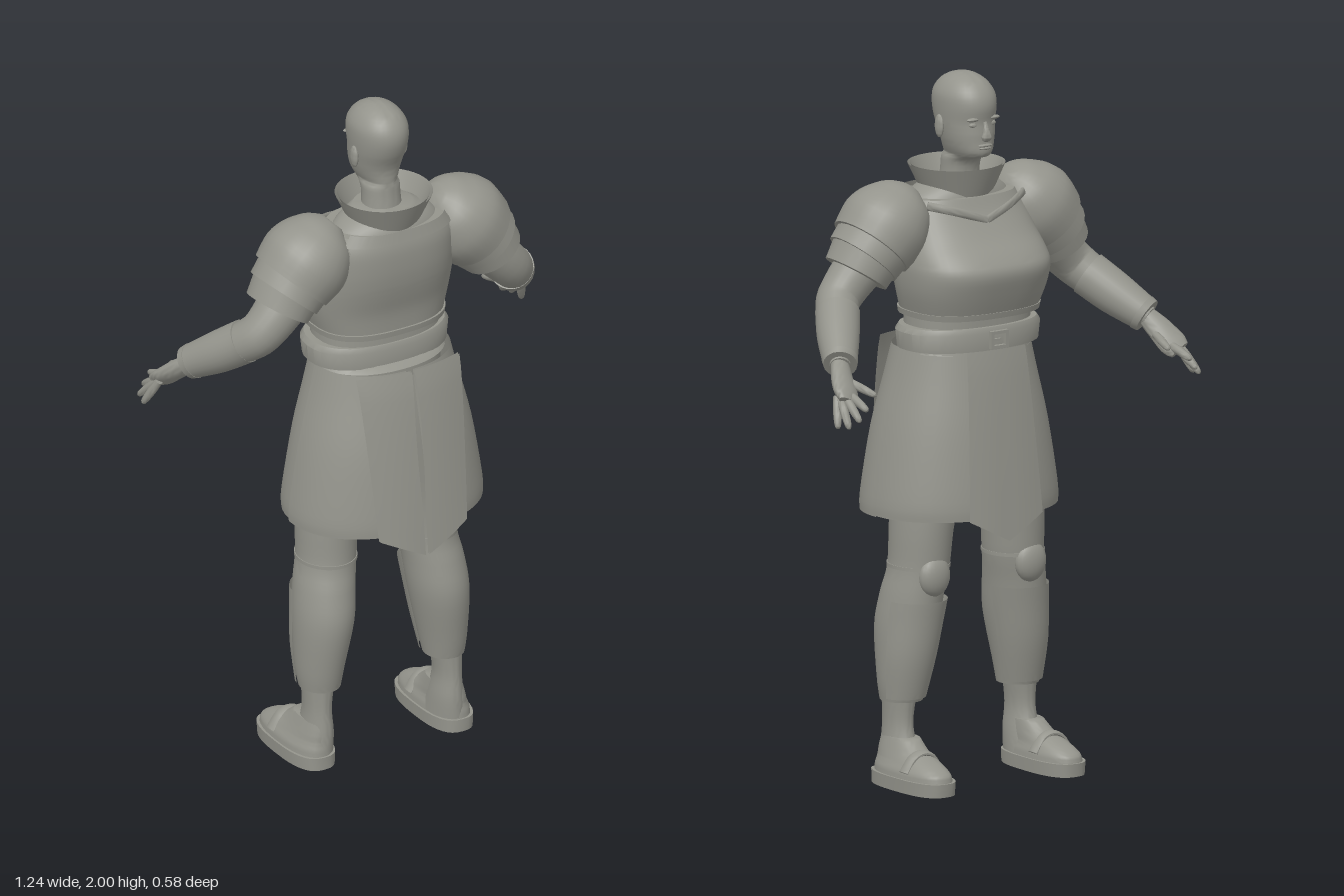
import * as THREE from 'three';
import { toCreasedNormals } from 'three/addons/utils/BufferGeometryUtils.js';

const TAU = Math.PI * 2;

export function createModel() {
  const model = new THREE.Group();
  const grey = new THREE.MeshStandardMaterial({ color: 0x94948c, side: THREE.DoubleSide });
  grey.name = 'stone grey';

  // ---- helpers ----
  function add(name, geo, crease = 0.75) {
    const mesh = new THREE.Mesh(toCreasedNormals(geo, crease), grey);
    mesh.name = name;
    model.add(mesh);
  }
  // mirrored copy with the winding turned round
  function mirror(geo) {
    const g = geo.clone().scale(-1, 1, 1);
    const id = g.index.array;
    for (let i = 0; i < id.length; i += 3) [id[i], id[i + 1]] = [id[i + 1], id[i]];
    return g;
  }
  function pair(name, geo, crease) {
    add('left ' + name, geo, crease);
    add('right ' + name, mirror(geo), crease);
  }
  // grid surface from a rule
  function sheet(fn, nu, nv) {
    const pos = [], idx = [];
    for (let j = 0; j <= nv; j++) for (let i = 0; i <= nu; i++) pos.push(...fn(i / nu, j, j / nv));
    for (let j = 0; j < nv; j++) for (let i = 0; i < nu; i++) {
      const a = j * (nu + 1) + i, b = a + nu + 1;
      idx.push(a, b, a + 1, b, b + 1, a + 1);
    }
    const g = new THREE.BufferGeometry();
    g.setAttribute('position', new THREE.Float32BufferAttribute(pos, 3));
    g.setIndex(idx);
    return g;
  }
  // smooth in-between rows
  function refine(rows, sub) {
    const out = [], at = i => rows[Math.min(rows.length - 1, Math.max(0, i))];
    for (let i = 0; i < rows.length - 1; i++) for (let k = 0; k < sub; k++) {
      const t = k / sub;
      out.push(rows[i].map((b, n) => {
        const a = at(i - 1)[n], c = at(i + 1)[n], d = at(i + 2)[n];
        return b + 0.5 * t * (c - a + t * (2 * a - 5 * b + 4 * c - d + t * (3 * (b - c) + d - a)));
      }));
    }
    out.push(rows[rows.length - 1]);
    return out;
  }
  const pw = (v, p) => Math.sign(v) * Math.pow(Math.abs(v), 2 / p);
  // level cross-sections, bottom up: [y, centre x, half width, front z, back z]
  function body(rows, { p = 2, sub = 4, cap = true, from = 0, to = TAU, n = 36 } = {}) {
    let r = refine(rows, sub);
    if (cap) {
      const shut = ([y, cx, , f, b]) => [y, cx, 0, (f + b) / 2, (f + b) / 2];
      r = [shut(r[0]), ...r, shut(r[r.length - 1])];
    }
    return sheet((u, j) => {
      const [y, cx, w, f, b] = r[j], a = from + u * (to - from);
      return [cx + w * pw(Math.cos(a), p), y, (f + b) / 2 + (b - f) / 2 * pw(Math.sin(a), p)];
    }, n, r.length - 1);
  }
  // sections across a path: [x, y, z, radius a, radius b]
  function limb(rows, { sub = 4, cap = true, n = 24 } = {}) {
    const r = refine(rows, sub), P = r.map(q => new THREE.Vector3(q[0], q[1], q[2]));
    const rings = r.map((q, j) => {
      const t = P[Math.min(j + 1, P.length - 1)].clone().sub(P[Math.max(j - 1, 0)]).normalize();
      const nn = new THREE.Vector3(0, 0, 1).addScaledVector(t, -t.z).normalize();
      return { c: P[j], nn, b: t.clone().cross(nn), ra: q[3], rb: q[4] };
    });
    if (cap) {
      rings.unshift({ ...rings[0], ra: 0, rb: 0 });
      rings.push({ ...rings[rings.length - 1], ra: 0, rb: 0 });
    }
    return sheet((u, j) => {
      const k = rings[j], a = u * TAU;
      return k.c.clone().addScaledVector(k.b, k.ra * Math.cos(a))
        .addScaledVector(k.nn, k.rb * Math.sin(a)).toArray();
    }, n, rings.length - 1);
  }
  const ball = (x, y, z, rx, ry, rz) => new THREE.SphereGeometry(1, 20, 14).scale(rx, ry, rz).translate(x, y, z);

  // ---- head, facing -z ----
  add('head', body([
    [1.64, 0, 0.06, -0.02, 0.1], [1.72, 0, 0.054, -0.02, 0.088], [1.757, 0, 0.054, -0.035, 0.085],
    [1.77, 0, 0.05, -0.078, 0.084], [1.785, 0, 0.057, -0.089, 0.084], [1.81, 0, 0.066, -0.088, 0.085],
    [1.84, 0, 0.072, -0.088, 0.095], [1.87, 0, 0.076, -0.086, 0.109], [1.91, 0, 0.079, -0.093, 0.119],
    [1.945, 0, 0.076, -0.085, 0.114], [1.975, 0, 0.058, -0.06, 0.092], [1.993, 0, 0.033, -0.025, 0.058],
    [2.0, 0, 0.008, 0.005, 0.025]], { p: 2.1, sub: 3 }), 1.0);
  add('nose', limb([[0, 1.872, -0.085, 0.006, 0.006], [0, 1.845, -0.092, 0.01, 0.01],
    [0, 1.828, -0.093, 0.016, 0.013], [0, 1.82, -0.088, 0.01, 0.006]], { n: 12 }), 1);
  add('upper lip', ball(0, 1.805, -0.086, 0.024, 0.005, 0.008));
  add('lower lip', ball(0, 1.797, -0.086, 0.02, 0.005, 0.008));
  pair('eye', ball(0.031, 1.864, -0.073, 0.014, 0.007, 0.009));
  pair('brow', ball(0.034, 1.88, -0.077, 0.022, 0.006, 0.009));
  pair('ear', ball(0.079, 1.852, 0.022, 0.009, 0.033, 0.018).rotateX(0));

  // ---- neck guard ----
  add('neck base', body([[1.6, 0, 0.19, -0.06, 0.16], [1.66, 0, 0.15, -0.05, 0.15], [1.7, 0, 0.085, -0.035, 0.12]]));
  const collar = body([[1.655, 0, 0.1, -0.055, 0.15], [1.735, 0, 0.138, -0.085, 0.184]], { cap: false, sub: 1, n: 48 });
  add('collar', collar);
  add('collar lining', body([[1.655, 0, 0.093, -0.048, 0.143], [1.735, 0, 0.131, -0.078, 0.177]], { cap: false, sub: 1, n: 48 }));

  // ---- torso ----
  add('cuirass', body([
    [1.33, 0, 0.192, -0.158, 0.142], [1.4, 0, 0.212, -0.185, 0.148], [1.46, 0, 0.219, -0.2, 0.163],
    [1.5, 0, 0.216, -0.178, 0.172], [1.55, 0, 0.208, -0.13, 0.178], [1.61, 0, 0.196, -0.085, 0.178],
    [1.655, 0, 0.17, -0.062, 0.168]], { p: 2.6, n: 48 }));
  add('cuirass hem', body([[1.328, 0, 0.198, -0.163, 0.147], [1.345, 0, 0.201, -0.167, 0.149]], { p: 2.6, sub: 1 }));
  // neckline strips, dipping at the chest
  add('back neckline', body([[1.635, 0, 0.19, -0.07, 0.18], [1.668, 0, 0.168, -0.06, 0.172]],
    { p: 2.6, sub: 1, cap: false, from: 0.5, to: Math.PI - 0.5 }));
  pair('chest neckline', limb([[0.165, 1.645, -0.04, 0.012, 0.006], [0.09, 1.625, -0.08, 0.012, 0.006],
    [0, 1.595, -0.097, 0.012, 0.006]], { n: 10 }));
  add('waist', body([[1.18, 0, 0.19, -0.125, 0.13], [1.34, 0, 0.186, -0.13, 0.128]], { p: 2.4, sub: 1 }));
  add('belt', body([[1.235, 0, 0.212, -0.143, 0.138], [1.285, 0, 0.218, -0.146, 0.14],
    [1.3, 0, 0.207, -0.14, 0.134]], { p: 2.3, sub: 1 }));
  // buckle frame and tongue
  const frame = new THREE.Shape([[-0.03, -0.025], [0.03, -0.025], [0.03, 0.025], [-0.03, 0.025]].map(q => new THREE.Vector2(...q)));
  frame.holes.push(new THREE.Path([[-0.02, -0.016], [-0.02, 0.016], [0.02, 0.016], [0.02, -0.016]].map(q => new THREE.Vector2(...q))));
  add('buckle', new THREE.ExtrudeGeometry(frame, { depth: 0.012, bevelEnabled: false }).translate(0, 1.265, -0.157));
  add('buckle tongue', new THREE.BoxGeometry(0.03, 0.007, 0.008).translate(0.01, 1.265, -0.152));

  // ---- skirt: front and back panels overlapping at the sides ----
  const skirt = (g, from, to) => body([
    [0.765, 0, 0.286 + g, -0.19 - g, 0.255 + g], [0.82, 0, 0.284 + g, -0.19 - g, 0.253 + g],
    [1.0, 0, 0.254 + g, -0.172 - g, 0.232 + g], [1.15, 0, 0.217 + g, -0.15 - g, 0.2 + g],
    [1.235, 0, 0.197 + g, -0.138 - g, 0.182 + g]], { p: 2.2, cap: false, from, to, n: 24 });
  add('front skirt panel', skirt(0, Math.PI - 0.1, TAU + 0.1));
  pair('back skirt panel', skirt(0.007, -0.02, Math.PI / 2 - 0.04));
  add('skirt top', body([[1.225, 0, 0.197, -0.138, 0.16], [1.24, 0, 0.19, -0.13, 0.14]], { p: 2.2, sub: 1 }));
  // split back flaps, longer towards the middle
  const backFlap = off => sheet((u, j, v) => {
    const slit = 0.006 + 0.006 * Math.sin(Math.PI * Math.min(1, v * 1.3));
    const x = slit + u * (0.165 - 0.025 * v - slit);
    const y = 1.24 - v * (0.54 - 0.065 * u);
    return [x, y, 0.213 + 0.076 * Math.pow(v, 0.75) - x * x * 1.1 + off];
  }, 8, 14);
  pair('back flap', backFlap(0));
  pair('back flap lining', backFlap(-0.008));
  // front flap with a pointed end
  add('front flap', sheet((u, j, v) => {
    const s = 1 - 2 * u, x = s * (0.1 + 0.025 * v);
    return [x, 1.235 - v * (0.535 - 0.065 * Math.abs(s)), -0.147 - 0.055 * Math.pow(v, 0.8) + x * x * 1.0];
  }, 12, 14));

  // ---- arms ----
  pair('sleeve', limb([[0.15, 1.6, 0.05, 0.08, 0.09], [0.29, 1.51, 0.055, 0.074, 0.078], [0.385, 1.415, 0.058, 0.064, 0.064],
    [0.425, 1.372, 0.03, 0.06, 0.06], [0.475, 1.315, -0.045, 0.052, 0.05], [0.53, 1.255, -0.13, 0.03, 0.028]]));
  pair('bracer', limb([[0.43, 1.366, 0.02, 0.064, 0.062], [0.475, 1.315, -0.045, 0.061, 0.059],
    [0.522, 1.264, -0.118, 0.05, 0.048]]));
  pair('wrist band', limb([[0.518, 1.268, -0.112, 0.053, 0.05], [0.527, 1.258, -0.126, 0.05, 0.046]], { sub: 1 }));
  pair('palm', limb([[0.525, 1.26, -0.122, 0.028, 0.023], [0.545, 1.225, -0.16, 0.037, 0.024],
    [0.56, 1.19, -0.2, 0.042, 0.02], [0.57, 1.172, -0.222, 0.032, 0.014]]), 1);
  // fingers: knuckle to tip
  const fingers = [
    [[0.588, 1.175, -0.195], [0.612, 1.105, -0.232]], [[0.583, 1.175, -0.208], [0.602, 1.11, -0.272]],
    [[0.568, 1.178, -0.215], [0.578, 1.13, -0.29]], [[0.55, 1.185, -0.212], [0.556, 1.16, -0.294]],
    [[0.525, 1.215, -0.165], [0.503, 1.19, -0.262]]];
  fingers.forEach(([a, b], i) => {
    const at = (t, r) => [0, 1, 2].map(k => a[k] + (b[k] - a[k]) * t).concat(r, r);
    pair(i < 4 ? 'finger ' + (i + 1) : 'thumb',
      limb([at(-0.15, 0.011), at(0.3, 0.0125), at(0.7, 0.011), at(0.93, 0.008), at(1, 0.003)], { n: 10, sub: 2 }), 1);
  });

  // ---- layered shoulder armour ----
  pair('shoulder cap', limb([[0.165, 1.68, 0.045, 0.03, 0.04], [0.185, 1.66, 0.045, 0.075, 0.085],
    [0.21, 1.63, 0.045, 0.107, 0.115], [0.25, 1.585, 0.045, 0.128, 0.131], [0.298, 1.533, 0.045, 0.118, 0.124]]));
  pair('middle shoulder plate', limb([[0.28, 1.55, 0.045, 0.112, 0.118], [0.323, 1.5, 0.048, 0.106, 0.113]], { sub: 2 }));
  pair('lower shoulder plate', limb([[0.31, 1.515, 0.047, 0.1, 0.107], [0.345, 1.461, 0.05, 0.092, 0.1]], { sub: 2 }));

  // ---- legs ----
  pair('trouser leg', body([[0.235, 0.2, 0.058, -0.028, 0.1], [0.3, 0.198, 0.068, -0.048, 0.112],
    [0.44, 0.186, 0.083, -0.07, 0.132], [0.54, 0.175, 0.084, -0.08, 0.117], [0.62, 0.162, 0.083, -0.088, 0.1],
    [0.76, 0.152, 0.088, -0.1, 0.102], [1.0, 0.11, 0.108, -0.115, 0.115], [1.2, 0.085, 0.1, -0.11, 0.115]]));
  pair('greave', body([[0.245, 0.2, 0.064, -0.038, 0.09], [0.36, 0.192, 0.08, -0.065, 0.1],
    [0.47, 0.18, 0.088, -0.08, 0.105], [0.525, 0.174, 0.09, -0.088, 0.1]],
    { cap: false, from: Math.PI + 0.1, to: TAU - 0.1, n: 20 }));
  pair('knee guard', ball(0.165, 0.598, -0.073, 0.05, 0.058, 0.03));
  pair('knee strap', body([[0.615, 0.162, 0.085, -0.09, 0.103], [0.625, 0.162, 0.085, -0.09, 0.103]], { sub: 1 }));

  // ---- feet ----
  pair('ankle', body([[0.04, 0.214, 0.052, -0.07, 0.098], [0.1, 0.21, 0.044, -0.035, 0.098],
    [0.17, 0.21, 0.037, -0.015, 0.092], [0.25, 0.207, 0.045, -0.02, 0.092]]));
  pair('shoe', body([[0.03, 0.223, 0.064, -0.207, 0.1], [0.055, 0.223, 0.061, -0.202, 0.098],
    [0.077, 0.221, 0.052, -0.165, 0.094], [0.1, 0.217, 0.046, -0.1, 0.094], [0.135, 0.212, 0.038, -0.05, 0.09]], { p: 2.4 }), 1);
  pair('shoe strap', limb([[0.162, 0.055, -0.09, 0.008, 0.02], [0.19, 0.094, -0.09, 0.008, 0.02],
    [0.222, 0.105, -0.09, 0.008, 0.02], [0.255, 0.092, -0.09, 0.008, 0.02], [0.282, 0.055, -0.09, 0.008, 0.02]], { n: 10 }));
  pair('sole', body([[0, 0.223, 0.067, -0.21, 0.105], [0.038, 0.223, 0.069, -0.213, 0.105]], { p: 2.7, sub: 1 }));

  return model;
}
